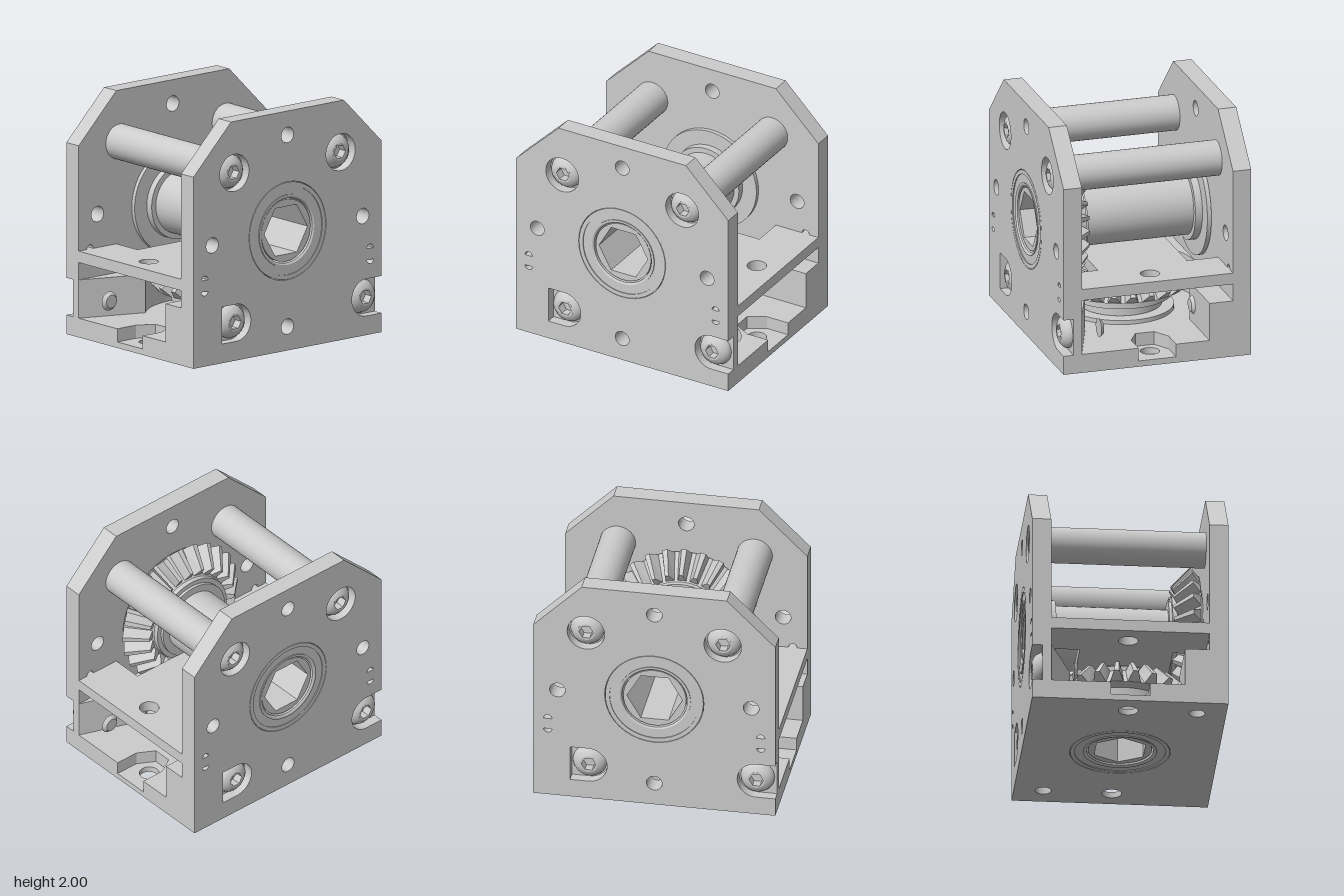
import * as THREE from 'three';
import { toCreasedNormals } from 'three/addons/utils/BufferGeometryUtils.js';

const PI = Math.PI;
const mat = new THREE.MeshStandardMaterial({ color: 0xcccccc });
const flat = new THREE.MeshStandardMaterial({ color: 0xcccccc, flatShading: true });

function mesh(name, geo, parent, x = 0, y = 0, z = 0, material = mat) {
  const m = new THREE.Mesh(geo, material);
  m.name = name;
  m.position.set(x, y, z);
  parent.add(m);
  return m;
}
const circle = (x, y, r) => new THREE.Shape().absarc(x, y, r, 0, PI * 2, false);
const polygon = (pts) => new THREE.Shape(pts.map((p) => new THREE.Vector2(...p)));
const hexagon = (r) => polygon([0, 1, 2, 3, 4, 5].map((i) => [r * Math.cos(i * PI / 3), r * Math.sin(i * PI / 3)]));
const extrude = (shape, depth) =>
  toCreasedNormals(new THREE.ExtrudeGeometry(shape, { depth, bevelEnabled: false, curveSegments: 20 }), 0.5);
// Extrudes upward; the shape's second axis becomes -z
const extrudeUp = (shape, depth) => extrude(shape, depth).rotateX(-PI / 2);
const lathe = (pts, seg = 48) =>
  toCreasedNormals(new THREE.LatheGeometry(pts.map((p) => new THREE.Vector2(...p)), seg), 0.5);

// Side plate outline: chamfered top, tab slots with round reliefs, notch for the base foot
function plateShape(openPocket) {
  const s = new THREE.Shape();
  s.moveTo(-0.7, 0).lineTo(1, 0);
  if (openPocket) {
    s.lineTo(1, 0.16).lineTo(0.84, 0.16);
    s.absarc(0.84, 0.315, 0.155, -PI / 2, PI / 2, true);
    s.lineTo(1, 0.47);
  }
  s.lineTo(1, 0.625).lineTo(0.915, 0.625);
  s.absarc(0.88, 0.625, 0.035, 0, -PI, true);
  s.absarc(0.88, 0.72, 0.035, PI, 0, true);
  s.lineTo(1, 0.72).lineTo(1, 1.6).lineTo(0.6, 2).lineTo(-0.6, 2).lineTo(-1, 1.6);
  s.lineTo(-1, 0.72).lineTo(-0.915, 0.72);
  s.absarc(-0.88, 0.72, 0.035, PI, 0, true);
  s.absarc(-0.88, 0.625, 0.035, 0, -PI, true);
  s.lineTo(-1, 0.625).lineTo(-1, 0.48).lineTo(-0.7, 0.48).lineTo(-0.7, 0);
  s.holes.push(circle(0, 1, 0.41));
  for (const [x, y] of [[0, 1.8], [0, 0.2], [0.8, 1], [-0.8, 1]]) s.holes.push(circle(x, y, 0.065));
  return s;
}

// Button head screw with hex socket, facing +z
function addScrew(parent, x, y, z) {
  const g = new THREE.Group();
  g.name = 'screw';
  g.position.set(x, y, z);
  const dome = lathe([[0.14, 0], [0.14, 0.012], [0.128, 0.04], [0.1, 0.064], [0.072, 0.076]], 32);
  mesh('screwHead', dome.rotateX(PI / 2), g);
  const top = circle(0, 0, 0.073);
  top.holes.push(hexagon(0.06));
  mesh('screwSocket', extrude(top, 0.076), g);
  parent.add(g);
}

// Flanged bearing along y, outer face at y = 0
function bearing() {
  return lathe([[0.27, 0.01], [0.285, 0], [0.3, 0], [0.3, 0.008], [0.37, 0.008], [0.37, 0], [0.405, 0],
    [0.405, 0.16], [0.44, 0.16], [0.44, 0.195], [0.27, 0.195], [0.27, 0.01]], 64);
}

// Bevel gear along y with its pitch apex at y = 1
function bevelGear(name, neck, phase) {
  const g = new THREE.Group();
  g.name = name;
  const body = [[0.43, 0.38], [0.55, 0.38], [0.37, 0.56], [0.37, 0.6], [0.33, 0.6], [0.33, 0.625],
    [0.24, 0.625], [0.24, neck ? 0.2 : 0.37]];
  const back = neck ? [[0.24, 0.2], [0.34, 0.2], [0.34, 0.29], [0.43, 0.29]] : [[0.24, 0.37], [0.43, 0.37]];
  mesh('gearBody', lathe([...back, ...body], 72), g);
  // One tapered tooth: box corners moved to the outer and inner cross-sections
  const tooth = new THREE.BoxGeometry(1, 1, 1);
  const p = tooth.attributes.position;
  for (let i = 0; i < p.count; i++) {
    const outer = p.getX(i) > 0, tip = p.getY(i) > 0;
    const [r, y] = outer ? (tip ? [0.615, 0.45] : [0.54, 0.38]) : (tip ? [0.455, 0.6] : [0.37, 0.545]);
    const half = (tip ? 0.022 : 0.056) * (outer ? 1 : 0.68);
    p.setXYZ(i, r, y, Math.sign(p.getZ(i)) * half);
  }
  const count = 24;
  for (let i = 0; i < count; i++) {
    mesh('gearTooth', tooth, g, 0, 0, 0, flat).rotation.y = (i + phase) * 2 * PI / count;
  }
  return g;
}

function hexTube(r) {
  const s = circle(0, 0, r);
  s.holes.push(hexagon(0.23));
  return s;
}

// Side plate with its screws and bearing, facing +z
function sideAssembly(name) {
  const g = new THREE.Group();
  g.name = name;
  mesh('plateInner', extrude(plateShape(false), 0.07), g, 0, 0, 0.645);
  const outer = plateShape(true);
  for (const x of [-0.565, 0.565]) outer.holes.push(circle(x, 1.57, 0.155));
  const pocket = new THREE.Path();
  pocket.moveTo(-0.7, 0.16).lineTo(-0.545, 0.16);
  pocket.absarc(-0.545, 0.315, 0.155, -PI / 2, PI / 2, false);
  pocket.lineTo(-0.7, 0.47).lineTo(-0.7 , 0.16);
  // Keep the pocket wall clear of the foot notch
  outer.holes.push(new THREE.Path(pocket.getPoints(20).map((v) => new THREE.Vector2(Math.max(v.x, -0.695), v.y))));
  mesh('plateOuter', extrude(outer, 0.085), g, 0, 0, 0.715);
  for (const [x, y] of [[-0.565, 1.57], [0.565, 1.57], [-0.545, 0.315], [0.84, 0.315]]) addScrew(g, x, y, 0.715);
  for (const x of [-0.545, 0.84]) {
    mesh('screwTip', new THREE.CylinderGeometry(0.08, 0.055, 0.03, 24).rotateX(PI / 2), g, x, 0.315, 0.435);
  }
  mesh('bearing', bearing().rotateX(-PI / 2), g, 0, 1, 0.8);
  return g;
}

// Base floor outline, optionally with nut slots open to the sides
function floorShape(slots) {
  const slot = [[1, -0.16], [0.8, -0.16], [0.66, -0.08], [0.66, 0.08], [0.8, 0.16], [1, 0.16]];
  const half = [[-0.7, -0.645], [1, -0.645], ...(slots ? slot : []), [1, 0.8], [0.7, 0.8]];
  const s = polygon([...half, ...half.map(([x, y]) => [-x, -y])]);
  s.holes.push(circle(0, 0, 0.41), circle(0.79, 0.56, 0.065), circle(-0.79, -0.56, 0.065));
  if (!slots) s.holes.push(circle(0.8, 0, 0.08), circle(-0.8, 0, 0.08));
  return s;
}

export function createModel() {
  const model = new THREE.Group();
  model.name = 'bevelGearbox';

  // Two identical sides, turned half a circle
  model.add(sideAssembly('frontSide'));
  const back = sideAssembly('backSide');
  back.rotation.y = PI;
  model.add(back);

  // Base with floor, end walls cleared for the gear, and corner feet
  const base = new THREE.Group();
  base.name = 'base';
  model.add(base);
  mesh('floorLower', extrudeUp(floorShape(false), 0.05), base);
  mesh('floorUpper', extrudeUp(floorShape(true), 0.11), base, 0, 0.05, 0);
  const wall = new THREE.Shape();
  const a = Math.asin(0.445 / 0.64);
  wall.moveTo(-1, 0.445);
  wall.absarc(0, 0, 0.64, PI - a, a, true);
  wall.lineTo(1, 0.445).lineTo(1, 0.8).lineTo(0.7, 0.8).lineTo(0.7, 0.645).lineTo(-1, 0.645);
  for (const turn of [0, PI]) mesh('endWall', extrudeUp(wall, 0.32), base, 0, 0.16, 0).rotation.y = turn;
  mesh('baseBearing', bearing(), base);

  // Middle shelf with tabs in the plate slots and gear clearance
  const quarter = [[1, 0], [1, 0.8], [0.845, 0.8], [0.845, 0.645], [0.6, 0.645], [0.6, 0.38]];
  const mirrored = quarter.map(([x, y]) => [-x, y]).reverse();
  const top = [...quarter, ...mirrored];
  const shelf = polygon([...top, ...top.slice(1, -1).map(([x, y]) => [-x, -y])]);
  for (const x of [-0.8, 0.8]) shelf.holes.push(circle(x, 0, 0.08));
  mesh('middleShelf', extrudeUp(shelf, 0.095), model, 0, 0.625, 0);

  // Spacer posts
  for (const x of [-0.565, 0.565]) {
    mesh('spacerPost', new THREE.CylinderGeometry(0.147, 0.147, 1.29, 36).rotateX(PI / 2), model, x, 1.57, 0);
  }

  // Horizontal hollow shaft with collar
  mesh('shaftSleeve', extrude(hexTube(0.265), 0.975), model, 0, 1, -0.575);
  mesh('shaftCore', extrude(hexTube(0.26), 1.56), model, 0, 1, -0.78);
  mesh('shaftCollar', extrude(hexTube(0.31), 0.065), model, 0, 1, -0.61);

  // Meshing bevel gears
  const frontGear = bevelGear('frontGear', false, 0);
  frontGear.rotation.x = -PI / 2;
  frontGear.position.set(0, 1, 1);
  model.add(frontGear);
  model.add(bevelGear('lowerGear', true, 0.5));
  mesh('lowerGearBore', extrudeUp(hexTube(0.26), 0.6), model, 0, 0.02, 0);

  return model;
}
